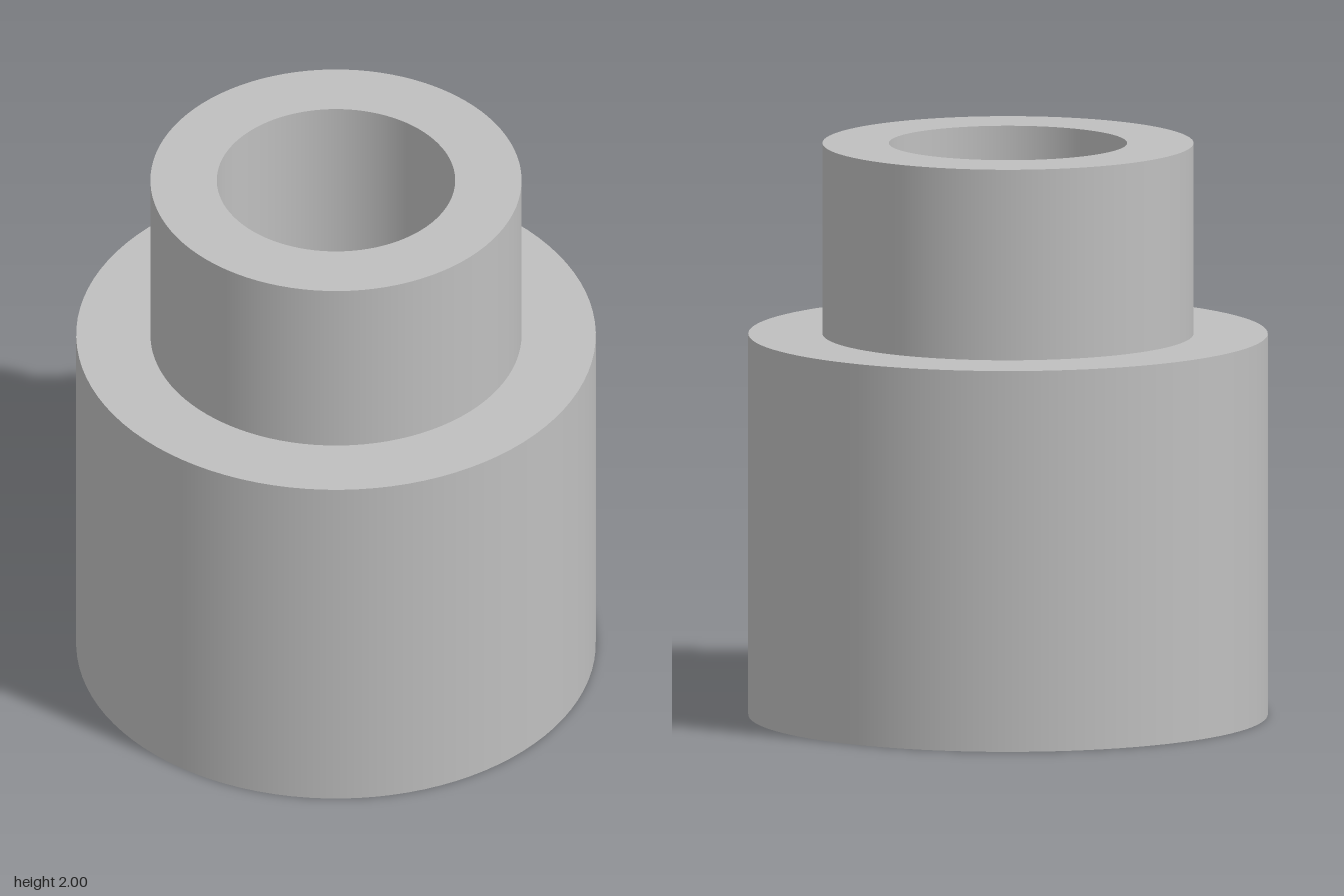
import * as THREE from 'three';
import { mergeGeometries } from 'three/addons/utils/BufferGeometryUtils.js';

const BORE = 0.413, NECK = 0.643, BODY = 0.9;
const SHOULDER = 1.333, TOP = 2;

// Turns each profile segment on its own so the edges between them stay sharp
function turned(name, profile, material) {
  const bands = [];
  for (let i = 0; i < profile.length - 1; i++) {
    const ends = [profile[i], profile[i + 1]].map(([r, y]) => new THREE.Vector2(r, y));
    bands.push(new THREE.LatheGeometry(ends, 96));
  }
  const mesh = new THREE.Mesh(mergeGeometries(bands), material);
  mesh.name = name;
  return mesh;
}

export function createModel() {
  const group = new THREE.Group();
  group.name = 'steppedBushing';
  const metal = new THREE.MeshStandardMaterial({ color: 0xbfbfbf });
  metal.name = 'light grey';

  // Wide lower body: bore, underside, outer wall, shoulder
  group.add(turned('body', [
    [BORE, SHOULDER], [BORE, 0], [BODY, 0], [BODY, SHOULDER], [NECK, SHOULDER],
  ], metal));

  // Narrow neck: outer wall, rim, bore
  group.add(turned('neck', [
    [NECK, SHOULDER], [NECK, TOP], [BORE, TOP], [BORE, SHOULDER],
  ], metal));

  return group;
}
